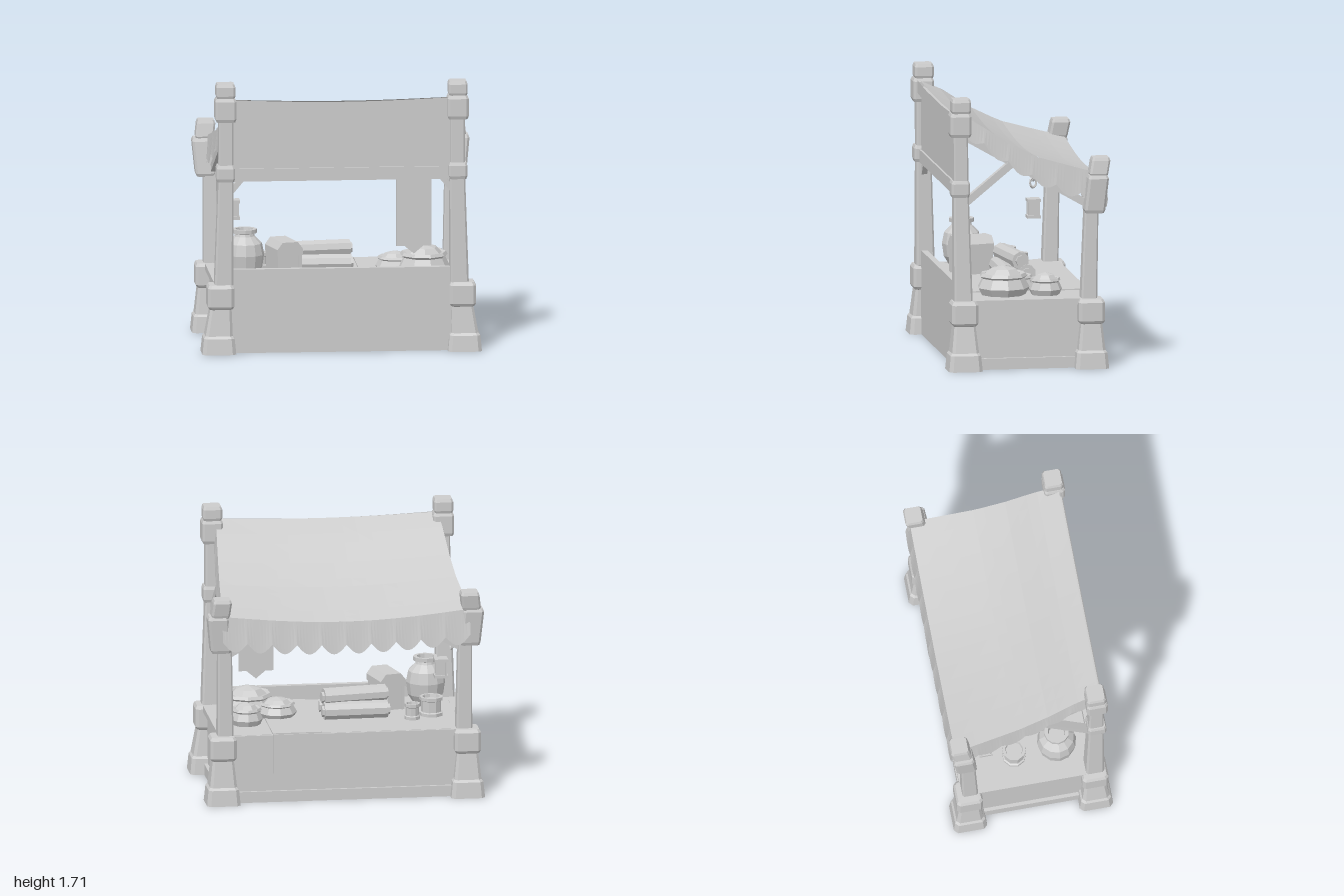
import * as THREE from 'three';
import { ParametricGeometry } from 'three/addons/geometries/ParametricGeometry.js';

const stone = new THREE.MeshStandardMaterial({ color: 0xcccccc, flatShading: true, side: THREE.DoubleSide });
stone.name = 'paleGrey';

function add(parent, name, geo, x = 0, y = 0, z = 0, rx = 0, ry = 0, rz = 0) {
  const m = new THREE.Mesh(geo, stone);
  m.name = name;
  m.position.set(x, y, z);
  m.rotation.set(rx, ry, rz);
  parent.add(m);
  return m;
}
const box = (w, h, d) => new THREE.BoxGeometry(w, h, d);
const lathe = (pts, n) => new THREE.LatheGeometry(pts.map(p => new THREE.Vector2(p[0], p[1])), n);
const sheet = (nu, nv, f) => new ParametricGeometry((u, v, t) => t.set(...f(u, v)), nu, nv);
const plate = (pts, depth) => new THREE.ExtrudeGeometry(
  new THREE.Shape(pts.map(p => new THREE.Vector2(...p))), { depth, bevelEnabled: false });

// Square beam between two points
function beam(parent, name, a, b, w) {
  const A = new THREE.Vector3(...a), B = new THREE.Vector3(...b);
  const dir = B.clone().sub(A);
  const m = add(parent, name, box(w, w, dir.length()));
  m.position.copy(A).add(B).multiplyScalar(0.5);
  m.rotation.set(-Math.asin(dir.y / dir.length()), Math.atan2(dir.x, dir.z), 0, 'YXZ');
}

// Post piece: stacked chamfered squares, each ring is [y, half size, x, z]; open below at the ground
function loft(rings) {
  const pos = [], idx = [], n = 8;
  for (const [y, h, x, z] of rings) {
    const c = h * 0.78;
    for (const [a, b] of [[h, c], [c, h], [-c, h], [-h, c], [-h, -c], [-c, -h], [c, -h], [h, -c]]) pos.push(x + a, y, z + b);
  }
  for (let r = 0; r < rings.length - 1; r++)
    for (let i = 0; i < n; i++) {
      const a = r * n + i, b = r * n + (i + 1) % n;
      idx.push(a, a + n, b, b, a + n, b + n);
    }
  const t = (rings.length - 1) * n;
  for (let i = 1; i < n - 1; i++) {
    if (rings[0][0] > 0) idx.push(0, i, i + 1);
    idx.push(t, t + i + 1, t + i);
  }
  const g = new THREE.BufferGeometry();
  g.setAttribute('position', new THREE.Float32BufferAttribute(pos, 3));
  g.setIndex(idx);
  g.computeVertexNormals();
  return g;
}

// Collar with bevelled top and bottom
const collar = (y0, y1, h, x, z, x2 = x, z2 = z) => loft([
  [y0, h * 0.88, x, z], [y0 + 0.02, h, x, z], [y1 - 0.02, h, x2, z2], [y1, h * 0.88, x2, z2]]);

// Roof slope: height for a given depth
const slope = [[0.45, 1.61], [0.3, 1.54], [0.117, 1.42], [-0.066, 1.33], [-0.334, 1.255], [-0.48, 1.22]];
function roofY(z) {
  for (let i = 0; i < slope.length - 1; i++) {
    const [a, ya] = slope[i], [b, yb] = slope[i + 1];
    if (z >= b) return ya + (yb - ya) * (a - z) / (a - b);
  }
  return 1.22;
}
const roofHalf = z => 0.7 + 0.08 * (0.45 - z) / 0.93;

// Hollow foot, lower collar and shaft in one piece
const post = (s, x, z, shaft) => loft([
  [0, 0.106, s * 0.77, z], [0.1, 0.096, s * 0.77, z], [0.115, 0.085, s * 0.77, z],
  [0.28, 0.067, s * x, z], [0.285, 0.074, s * x, z], [0.3, 0.083, s * x, z],
  [0.415, 0.083, s * x, z], [0.435, 0.072, s * x, z], ...shaft.map(([y, h, sx, sz]) => [y, h, s * sx, sz])]);

function buildPosts(g) {
  for (const s of [-1, 1]) {
    add(g, 'frontPost', post(s, 0.758, 0.405, [[0.437, 0.058, 0.738, 0.41], [1.1, 0.047, 0.726, 0.42], [1.63, 0.044, 0.725, 0.425]]));
    add(g, 'frontPostMiddleCollar', collar(1.09, 1.195, 0.058, s * 0.728, 0.425));
    add(g, 'frontPostUpperCollar', collar(1.47, 1.62, 0.066, s * 0.728, 0.425));
    add(g, 'frontPostCap', collar(1.615, 1.71, 0.06, s * 0.728, 0.42));
    add(g, 'backPost', post(s, 0.77, -0.395, [[0.437, 0.05, 0.752, -0.385], [1.0, 0.043, 0.757, -0.4], [1.26, 0.042, 0.785, -0.44]]));
    add(g, 'backPostCollar', collar(0.98, 1.22, 0.064, s * 0.785, -0.415, s * 0.805, -0.435));
    add(g, 'backPostCap', collar(1.21, 1.33, 0.058, s * 0.79, -0.44, s * 0.78, -0.455));
    // Braces and rafters
    beam(g, 'sideBrace', [s * 0.72, 1.04, 0.4], [s * 0.71, 1.31, 0.07], 0.045);
    beam(g, 'rafter', [s * 0.69, 1.47, 0.4], [s * 0.735, 1.02, -0.39], 0.045);
    beam(g, 'backBrace', [s * 0.75, 0.95, -0.4], [s * 0.4, 1.14, -0.4], 0.045);
    beam(g, 'frontBrace', [s * 0.72, 0.99, 0.42], [s * 0.62, 1.11, 0.42], 0.035);
  }
  beam(g, 'backBeam', [-0.75, 1.13, -0.41], [0.75, 1.13, -0.41], 0.05);
}

function buildCounter(g) {
  add(g, 'frontPanel', box(1.42, 0.53, 0.04), 0, 0.265, 0.42);
  add(g, 'tableTop', box(1.52, 0.03, 0.83), 0, 0.422, -0.01);
  add(g, 'backPanel', box(1.5, 0.41, 0.025), 0, 0.205, -0.395);
  add(g, 'backSkirting', box(1.44, 0.07, 0.05), 0, 0.035, -0.4);
  add(g, 'tableEdge', box(1.44, 0.04, 0.05), 0, 0.415, -0.415);
  for (const s of [-1, 1]) {
    add(g, 'sidePanel', box(0.025, 0.41, 0.72), s * 0.755, 0.205, 0);
    add(g, 'sideSkirting', box(0.05, 0.07, 0.66), s * 0.765, 0.035, 0);
    add(g, 'sideRail', box(0.05, 0.04, 0.7), s * 0.77, 0.418, 0);
  }
  // Runner across the table with an arrow tip over the back edge
  add(g, 'tableRunner', box(0.31, 0.008, 0.82), 0.3, 0.441, -0.02);
  add(g, 'runnerTail', plate([[0.155, 0.44], [0.155, 0.19], [0.1, 0.19], [0.1, 0.175], [0, 0.1],
    [-0.1, 0.175], [-0.1, 0.19], [-0.155, 0.19], [-0.155, 0.44]], 0.008), 0.3, 0, -0.45);
}

function buildCanopy(g) {
  add(g, 'roofCloth', sheet(16, 14, (u, v) => {
    const z = 0.45 - 0.93 * v, x = (2 * u - 1) * roofHalf(z);
    return [x, roofY(z) - 0.04 * Math.sin(Math.PI * u) * (0.4 + v), z];
  }));
  add(g, 'backValance', sheet(80, 1, (u, v) => {
    const sag = 0.056 * Math.sin(Math.PI * u), drop = 0.16 + 0.06 * Math.abs(Math.sin(Math.PI * 10 * u));
    return [(2 * u - 1) * 0.78, 1.22 - sag - v * (drop - sag * 0.3), -0.48 - 0.025 * v];
  }));
  for (const s of [-1, 1]) add(g, 'sideValance', sheet(48, 1, (u, v) => {
    const z = 0.42 - 0.9 * u, drop = 0.08 + 0.09 * u + 0.045 * Math.abs(Math.sin(Math.PI * 6 * u));
    return [s * (roofHalf(z) + 0.015 * v), roofY(z) - drop * v, z];
  }));
  // Front drape with a folded lip and a hem rail
  add(g, 'frontLip', sheet(16, 3, (u, v) => [(2 * u - 1) * 0.7,
    1.61 - 0.02 * Math.sin(Math.PI * u) - 0.08 * Math.min(1, v * 1.5), 0.45 + (v < 0.9 ? 0.015 : -0.02)]));
  add(g, 'frontDrape', box(1.42, 0.42, 0.02), 0, 1.36, 0.43);
  add(g, 'hemRail', box(1.42, 0.08, 0.045), 0, 1.13, 0.43);
  // Banner hanging behind the hem rail
  add(g, 'banner', plate([[0.11, 1.14], [0.11, 0.65], [0.06, 0.65], [0, 0.6], [-0.06, 0.65], [-0.11, 0.65], [-0.11, 1.14]], 0.008), 0.46, 0, 0.34);
}

function buildGoods(g) {
  const top = 0.437;
  add(g, 'jar', lathe([[0, 0], [0.07, 0], [0.112, 0.07], [0.124, 0.15], [0.11, 0.22], [0.065, 0.265], [0.06, 0.28],
    [0.078, 0.285], [0.078, 0.31], [0.055, 0.31], [0.05, 0.27], [0, 0.27]], 12), -0.59, top, 0.2);
  // Chest with an arched lid
  const chest = new THREE.Group();
  chest.name = 'chest';
  chest.position.set(-0.34, top, 0.18);
  chest.rotation.y = 0.25;
  add(chest, 'chestBody', box(0.14, 0.16, 0.21), 0, 0.08, 0);
  add(chest, 'chestLid', plate([[-0.085, 0.15], [0.085, 0.15], [0.085, 0.19], [0.05, 0.235], [-0.05, 0.235], [-0.085, 0.19]], 0.24), 0, 0, -0.12);
  for (const s of [-1, 1]) add(chest, 'chestStile', box(0.02, 0.16, 0.23), s * 0.068, 0.08, 0);
  g.add(chest);
  // Cloth rolls in a stack of three
  for (const [z, y, yaw] of [[-0.1, 0.055, 0.03], [0.02, 0.055, 0], [-0.035, 0.135, 0.15]]) {
    const roll = new THREE.Group();
    roll.name = 'clothRoll';
    roll.position.set(-0.11, top + y, z);
    roll.rotation.y = yaw;
    add(roll, 'rolledCloth', new THREE.CylinderGeometry(0.056, 0.056, 0.4, 9), 0, 0, 0, 0, 0, Math.PI / 2);
    add(roll, 'rollCore', new THREE.CylinderGeometry(0.035, 0.035, 0.43, 7), 0, 0, 0, 0, 0, Math.PI / 2);
    g.add(roll);
  }
  // Open sacks with heaped contents
  for (const [x, z, r, h] of [[0.54, 0.12, 0.165, 0.13], [0.585, -0.14, 0.105, 0.1], [0.37, 0.02, 0.125, 0.09]]) {
    add(g, 'sack', lathe([[0, 0], [r * 0.85, 0], [r, h * 0.35], [r * 0.82, h * 0.8], [r * 0.92, h * 0.9], [r * 0.85, h * 1.05], [r * 0.7, h]], 9), x, top, z, 0, x * 3, 0);
    add(g, 'sackContents', lathe([[r * 0.75, h * 0.95], [r * 0.5, h * 1.25], [0, h * 1.4]], 7), x, top, z);
  }
  // Tubs
  for (const [x, z, r, h] of [[-0.59, -0.07, 0.075, 0.12], [-0.46, -0.15, 0.05, 0.1]])
    add(g, 'tub', lathe([[0, 0], [r, 0], [r, 0.02], [r * 0.86, 0.025], [r * 0.86, h - 0.025], [r, h - 0.02], [r, h], [r * 0.75, h], [r * 0.7, h - 0.02], [0, h - 0.02]], 9), x, top, z);
}

function buildLantern(g) {
  // Chain hung from the side rafter
  for (let i = 0; i < 4; i++) {
    const link = add(g, 'chainLink', new THREE.TorusGeometry(0.022, 0.007, 5, 10), -0.69, 1.07 - i * 0.043, -0.27, 0, i % 2 * Math.PI / 2 + 0.3, 0);
    link.scale.y = 1.35;
  }
  add(g, 'lanternBody', box(0.06, 0.09, 0.06), -0.625, 0.79, -0.26);
  for (const y of [0.738, 0.842]) add(g, 'lanternPlate', box(0.085, 0.018, 0.085), -0.625, y, -0.26);
  for (const a of [-1, 1]) for (const b of [-1, 1])
    add(g, 'lanternBar', box(0.012, 0.1, 0.012), -0.625 + a * 0.03, 0.79, -0.26 + b * 0.03);
}

export function createModel() {
  const root = new THREE.Group();
  root.name = 'marketStall';
  const stall = new THREE.Group();
  stall.name = 'stall';
  stall.rotation.y = 0.609;
  root.add(stall);
  buildPosts(stall);
  buildCounter(stall);
  buildCanopy(stall);
  buildGoods(stall);
  buildLantern(stall);
  return root;
}
